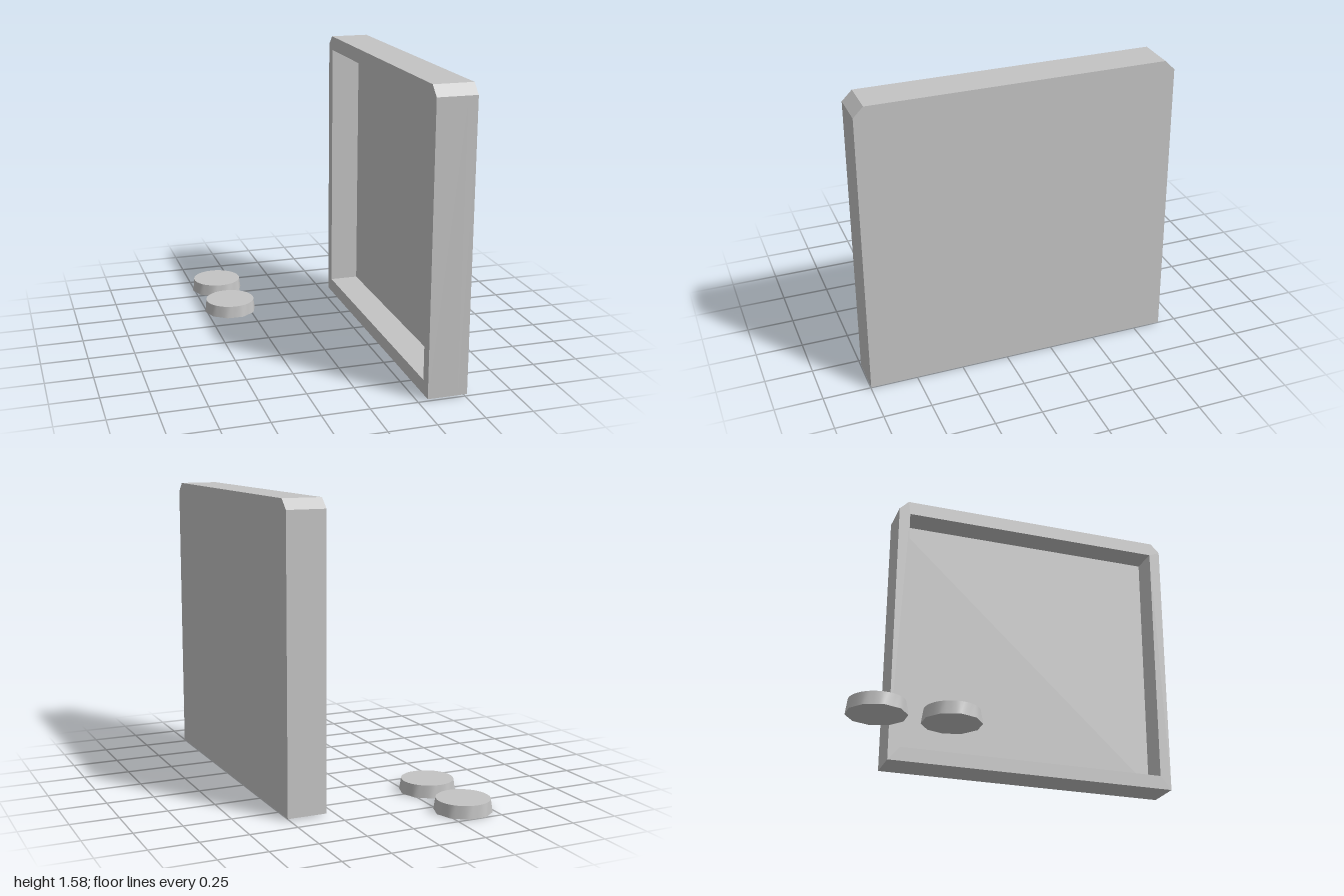
import * as THREE from 'three';

const grey = new THREE.MeshStandardMaterial({ color: 0xc4c4c4 });
grey.name = 'plain grey';

function part(name, geometry) {
  const mesh = new THREE.Mesh(geometry, grey);
  mesh.name = name;
  return mesh;
}

// Upright slab outline with two chamfered top corners (drawn in -z, y)
function slabShape() {
  const z0 = -1, z1 = 0.645, y0 = 0.01, y1 = 1.578, c = 0.052;
  return new THREE.Shape([
    [z0, y0], [z1, y0], [z1, y1 - c], [z1 - c, y1], [z0 + c, y1], [z0, y1 - c],
  ].map(([u, v]) => new THREE.Vector2(u, v)));
}

// Extrude a shape along +x, starting at x
function extrudeX(shape, x, depth) {
  const g = new THREE.ExtrudeGeometry(shape, { depth, bevelEnabled: false });
  g.rotateY(Math.PI / 2);
  g.translate(x, 0, 0);
  return g;
}

// Low cap: ten-sided foot blending into a round flat top
function capGeometry() {
  const n = 40, sides = 10, R = 0.15, r = 0.139, h = 0.067;
  const step = (Math.PI * 2) / sides;
  const foot = [], top = [];
  for (let i = 0; i < n; i++) {
    const a = (i / n) * Math.PI * 2;
    const local = (a % step) - step / 2;
    const d = (R * Math.cos(step / 2)) / Math.cos(local);
    foot.push([d * Math.cos(a), 0, d * Math.sin(a)]);
    top.push([r * Math.cos(a), h, r * Math.sin(a)]);
  }
  // Separate rings for side, top and bottom keep the rims sharp
  const points = [...foot, ...top, ...foot, ...top, [0, 0, 0], [0, h, 0]];
  const index = [];
  for (let i = 0; i < n; i++) {
    const j = (i + 1) % n;
    index.push(i, n + i, j, j, n + i, n + j);
    index.push(4 * n, 2 * n + i, 2 * n + j);
    index.push(4 * n + 1, 3 * n + j, 3 * n + i);
  }
  const g = new THREE.BufferGeometry();
  g.setAttribute('position', new THREE.Float32BufferAttribute(points.flat(), 3));
  g.setIndex(index);
  g.computeVertexNormals();
  return g;
}

export function createModel() {
  const model = new THREE.Group();
  model.name = 'trayAndCaps';

  // Upright tray, open towards -x
  const tray = new THREE.Group();
  tray.name = 'tray';
  const rim = slabShape();
  const z0 = -0.936, z1 = 0.581, y0 = 0.086, y1 = 1.5;
  rim.holes.push(new THREE.Path([
    [z0, y0], [z0, y1], [z1, y1], [z1, y0],
  ].map(([u, v]) => new THREE.Vector2(u, v))));
  tray.add(part('trayRim', extrudeX(rim, 0.3, 0.16)));
  tray.add(part('trayFloor', extrudeX(slabShape(), 0.46, 0.05)));
  model.add(tray);

  // Two loose caps
  const cap = capGeometry();
  [['rearCap', -0.857], ['frontCap', -0.487]].forEach(([name, z]) => {
    const mesh = part(name, cap);
    mesh.position.set(-0.36, 0, z);
    model.add(mesh);
  });
  return model;
}
